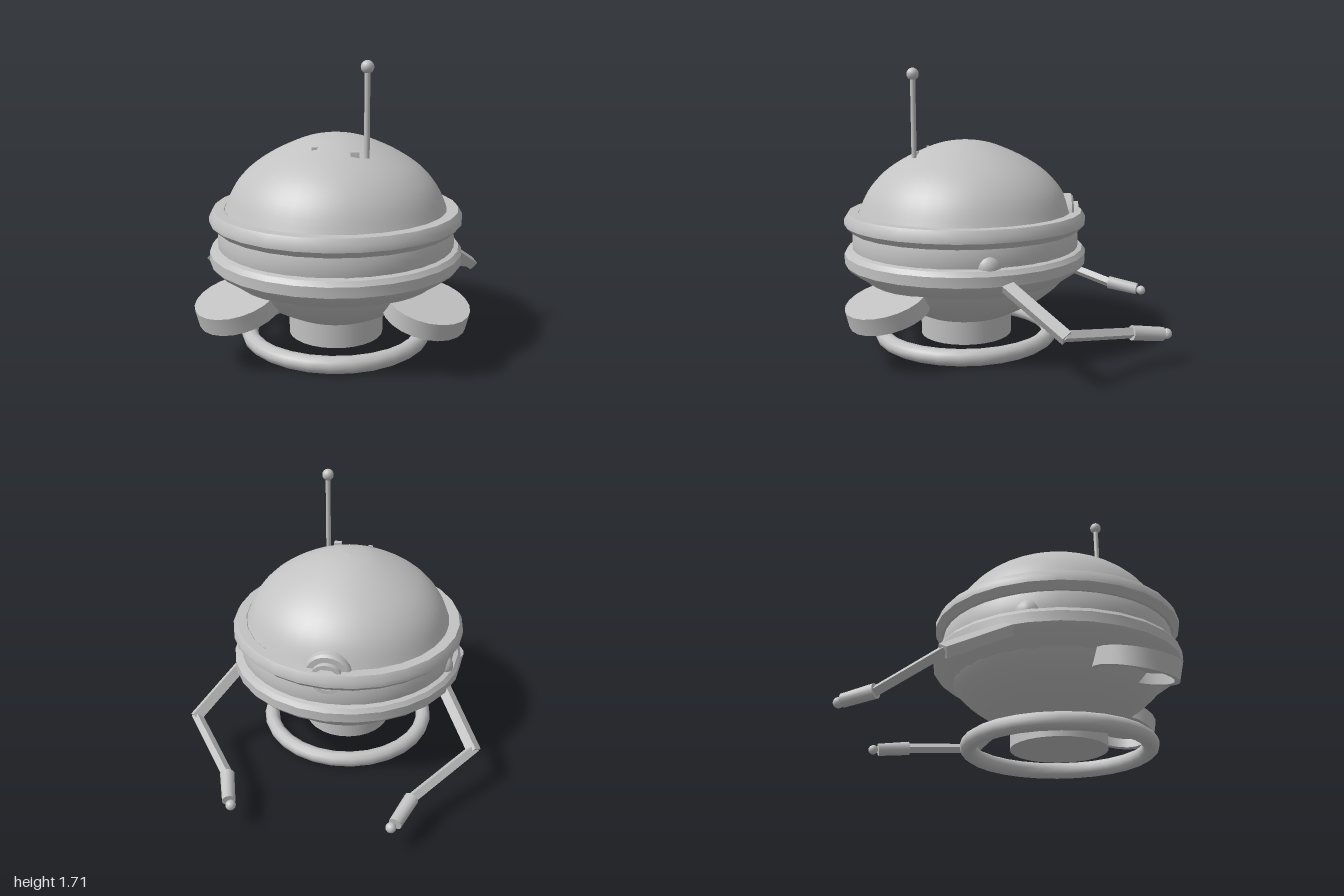
import * as THREE from 'three';
import { toCreasedNormals } from 'three/addons/utils/BufferGeometryUtils.js';

export function createModel() {
  const model = new THREE.Group();
  const grey = new THREE.MeshStandardMaterial({ color: 0xc2c2c2 });
  grey.name = 'light grey';
  const CZ = 0.235; // body axis

  const add = (name, geo, x = 0, y = 0, z = 0, parent = model) => {
    const m = new THREE.Mesh(geo, grey);
    m.name = name;
    m.position.set(x, y, z);
    parent.add(m);
    return m;
  };
  // profile of [radius, height] pairs, bottom to top on the outside
  const lathe = (pts, segs, crease) => {
    const g = new THREE.LatheGeometry(pts.map(p => new THREE.Vector2(p[0], p[1])), segs);
    return crease ? toCreasedNormals(g, crease) : g;
  };
  // lays a y-aligned mesh between two points
  const between = (mesh, a, b) => {
    const d = b.clone().sub(a);
    mesh.position.copy(a).addScaledVector(d, 0.5);
    mesh.quaternion.setFromUnitVectors(new THREE.Vector3(0, 1, 0), d.normalize());
    return mesh;
  };

  // Body shell: bowl, waist and dome
  const profile = new THREE.SplineCurve([
    [0.25, 0.165], [0.38, 0.23], [0.52, 0.315], [0.63, 0.42], [0.69, 0.53], [0.712, 0.64],
    [0.70, 0.74], [0.663, 0.84], [0.62, 0.94], [0.565, 1.02], [0.48, 1.10], [0.35, 1.18],
    [0.2, 1.245], [0.1, 1.27], [0, 1.28]
  ].map(p => new THREE.Vector2(p[0], p[1])));
  add('body', new THREE.LatheGeometry(profile.getPoints(42), 40), 0, 0, CZ);

  // Rings around the body
  add('upperRing', lathe([
    [0.65, 0.73], [0.72, 0.73], [0.757, 0.768], [0.757, 0.80], [0.733, 0.84], [0.67, 0.84], [0.65, 0.82]
  ], 28, 0.6), 0, 0, CZ);
  add('lowerCollar', lathe([
    [0.61, 0.41], [0.74, 0.5], [0.76, 0.525], [0.76, 0.585], [0.74, 0.612], [0.69, 0.625]
  ], 28, 0.5), 0, 0, CZ);

  // Pedestal and foot ring
  add('pedestal', new THREE.CylinderGeometry(0.29, 0.29, 0.16, 28), 0, 0.12, CZ);
  const foot = new THREE.TorusGeometry(0.535, 0.05, 10, 28);
  foot.rotateX(Math.PI / 2);
  add('footRing', foot, 0, 0.05, CZ);

  // Antenna and small dome fittings
  add('antennaRod', new THREE.CylinderGeometry(0.016, 0.016, 0.5, 12), 0.19, 1.43, 0.53);
  add('antennaBall', new THREE.SphereGeometry(0.037, 16, 12), 0.19, 1.68, 0.53);
  add('domeFitting', new THREE.BoxGeometry(0.05, 0.05, 0.035), 0.125, 1.19, 0.53);
  add('smallDomeFitting', new THREE.BoxGeometry(0.03, 0.04, 0.015), -0.105, 1.21, 0.48);

  // Rear port: wide flange with a raised inner tube
  const port = new THREE.Group();
  port.name = 'rearPort';
  port.position.set(0, 0.79, -0.33);
  port.rotation.x = -Math.PI / 2;
  model.add(port);
  add('portFlange', lathe([[0.15, 0], [0.15, 0.1], [0.135, 0.113], [0, 0.113]], 24, 0.6), 0, 0, 0, port);
  add('portTube', lathe([
    [0.1, 0.05], [0.1, 0.145], [0.075, 0.145], [0.075, 0.118], [0, 0.118]
  ], 24, 0.6), 0, 0, 0, port);

  for (const [side, s] of [['left', 1], ['right', -1]]) {
    // Front pod: tilted disc, hollow beneath
    const pod = add(side + 'Pod', lathe([
      [0, 0.01], [0.205, 0.01], [0.21, -0.052], [0.24, -0.052], [0.24, 0.052], [0, 0.052]
    ], 22, 0.6), s * 0.53, 0.355, 0.65);
    pod.quaternion.setFromAxisAngle(new THREE.Vector3(1, 0, -s).normalize(), 0.27);

    // Arm: shoulder, two square beams, gripper and tip
    const P = (x, y, z) => new THREE.Vector3(s * x, y, z);
    const shoulder = P(0.645, 0.55, 0.01), elbow = P(0.89, 0.305, -0.345);
    const wrist = P(0.56, 0.215, -0.75), end = P(0.49, 0.187, -0.94);
    const arm = new THREE.Group();
    arm.name = side + 'Arm';
    model.add(arm);
    const beam = (name, a, b, w) =>
      between(add(name, new THREE.BoxGeometry(w, a.distanceTo(b) + 0.03, w), 0, 0, 0, arm), a, b);
    add('shoulder', new THREE.SphereGeometry(0.083, 20, 14), s * 0.635, 0.62, 0.07, arm);
    beam('upperArm', shoulder, elbow, 0.064);
    beam('forearm', elbow, wrist, 0.047);
    between(add('gripper', toCreasedNormals(
      new THREE.CylinderGeometry(0.04, 0.044, wrist.distanceTo(end), 12), 0.7), 0, 0, 0, arm), wrist, end);
    add('armTip', new THREE.SphereGeometry(0.031, 14, 10), s * 0.47, 0.182, -0.968, arm);
  }
  return model;
}
